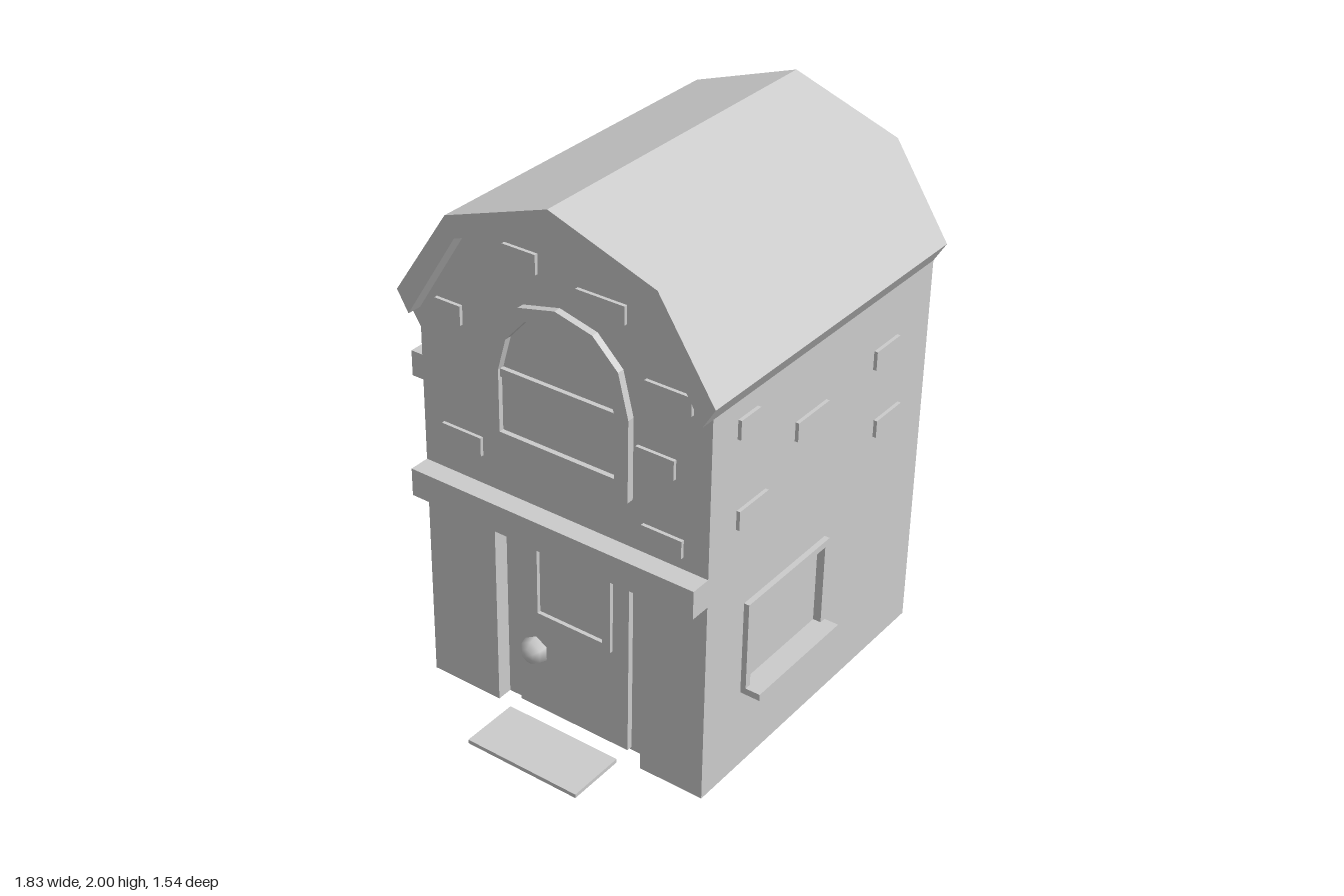
import * as THREE from 'three';

const mat = new THREE.MeshStandardMaterial({ color: 0xcccccc, flatShading: true, side: THREE.DoubleSide });
const smooth = new THREE.MeshStandardMaterial({ color: 0xcccccc });

// main dimensions
const L = -0.31, R = 0.84, WL = -0.84, MID = 0.265;
const BACK = -0.77, FRONT = 0.52, WING = -0.075;

const pts = (list) => list.map(([x, y]) => new THREE.Vector2(x, y));
const rect = (x0, x1, y0, y1) => [[x0, y0], [x1, y0], [x1, y1], [x0, y1]];

function shape(outline, ...holes) {
  const s = new THREE.Shape(pts(outline));
  for (const h of holes) s.holes.push(new THREE.Path(pts(h)));
  return s;
}

function add(parent, name, geo, material = mat) {
  const m = new THREE.Mesh(geo, material);
  m.name = name;
  parent.add(m);
  return m;
}

// flat panel facing +z of its parent
const panel = (parent, name, z, outline, ...holes) =>
  add(parent, name, new THREE.ShapeGeometry(shape(outline, ...holes)).translate(0, 0, z));

// solid slab between two depths
const slab = (parent, name, z0, z1, outline, ...holes) =>
  add(parent, name, new THREE.ExtrudeGeometry(shape(outline, ...holes),
    { depth: z1 - z0, bevelEnabled: false }).translate(0, 0, z0));

function group(parent, name) {
  const g = new THREE.Group();
  g.name = name;
  parent.add(g);
  return g;
}

// raised bricks on a wall whose surface is at depth z
function bricks(parent, z, list) {
  for (const b of list) slab(parent, 'brick', z, z + 0.013, rect(...b));
}

// framed side window with sill, centred on u
function sideWindow(parent, u) {
  const w = group(parent, 'sideWindow');
  slab(w, 'windowFrame', -0.02, 0.02, rect(u - 0.24, u + 0.24, 0.31, 0.67), rect(u - 0.215, u + 0.215, 0.335, 0.645));
  panel(w, 'windowPane', -0.01, rect(u - 0.215, u + 0.215, 0.335, 0.645));
  slab(w, 'windowSill', 0, 0.075, rect(u - 0.24, u + 0.24, 0.31, 0.335));
}
const windowHole = (u) => rect(u - 0.23, u + 0.23, 0.32, 0.66);

// mirror a half profile about the ridge line
const mirrored = (half, ridge) => [
  ...half.map(([d, y]) => [MID - d, y]), [MID, ridge],
  ...half.slice().reverse().map(([d, y]) => [MID + d, y]),
];

export function createModel() {
  const house = new THREE.Group();
  house.name = 'house';

  // roof profiles
  const outer = mirrored([[0.62, 1.535], [0.405, 1.86]], 2.0);
  const inner = mirrored([[0.575, 1.46], [0.37, 1.79]], 1.93);
  const wingOuter = [[-0.88, 1.01], [-0.635, 1.195], [L, 1.245]];
  const wingInner = [[WL, 0.95], [-0.61, 1.125], [L, 1.17]];
  slab(house, 'mainRoof', BACK, 0.576, [...outer, ...inner.slice().reverse()]);
  slab(house, 'wingRoof', BACK, -0.059, [...wingOuter, ...wingInner.slice().reverse()]);

  // front and back walls
  const door = { x0: -0.02, x1: 0.59, top: 0.775, z: 0.46 };
  panel(house, 'frontWall', FRONT, [[L, 0], ...inner, [R, 0],
    [door.x1, 0], [door.x1, door.top], [door.x0, door.top], [door.x0, 0]]);
  panel(house, 'wingFrontWall', WING, [[WL, 0], ...wingInner, [L, 0]]);
  panel(house, 'backWall', BACK, [[WL, 0], ...wingInner, ...inner, [R, 0]]).rotation.set(0, 0, 0);

  // right wall: local u runs toward -z
  const right = group(house, 'rightSide');
  right.position.x = R;
  right.rotation.y = Math.PI / 2;
  panel(right, 'rightWall', 0, rect(-FRONT, -BACK, 0, 1.46), windowHole(-0.07));
  sideWindow(right, -0.07);
  bricks(right, 0, [[-0.385, -0.28, 1.325, 1.395], [-0.055, 0.125, 1.155, 1.225],
    [0.415, 0.56, 1.2, 1.27], [-0.375, -0.215, 0.99, 1.06], [0.445, 0.6, 0.925, 0.99]]);

  // left walls: local u runs toward +z
  const left = group(house, 'leftSide');
  left.position.x = L;
  left.rotation.y = -Math.PI / 2;
  panel(left, 'leftWall', 0, [[WING, 0], [FRONT, 0], [FRONT, 1.46], [BACK, 1.46], [BACK, 1.17], [WING, 1.17]]);
  bricks(left, 0, [[-0.585, -0.465, 1.33, 1.4], [0.12, 0.275, 1.255, 1.32], [0.29, 0.45, 0.935, 1.01]]);

  const wing = group(house, 'wingSide');
  wing.position.x = WL;
  wing.rotation.y = -Math.PI / 2;
  panel(wing, 'wingWall', 0, rect(BACK, WING, 0, 0.95), windowHole(-0.395));
  sideWindow(wing, -0.395);

  // beams over the ground floor
  slab(house, 'frontBeam', FRONT, 0.598, rect(L, R, 0.775, 0.88));
  slab(house, 'wingBeam', WING, 0, rect(WL, L, 0.775, 0.88));

  // door recess
  const entry = group(house, 'entrance');
  const depth = FRONT - door.z, zc = (FRONT + door.z) / 2, w = door.x1 - door.x0;
  panel(entry, 'recessBack', door.z, rect(door.x0, door.x1, 0, door.top));
  for (const x of [door.x0, door.x1])
    add(entry, 'recessSide', new THREE.PlaneGeometry(depth, door.top).rotateY(Math.PI / 2)
      .translate(x, door.top / 2, zc));
  add(entry, 'recessTop', new THREE.PlaneGeometry(w, depth).rotateX(Math.PI / 2)
    .translate(door.x0 + w / 2, door.top, zc));

  // door with window and knob
  slab(entry, 'door', door.z, 0.483, rect(0.05, 0.51, 0.012, 0.768));
  slab(entry, 'doorWindowFrame', 0.483, 0.498, rect(0.11, 0.445, 0.4, 0.71), rect(0.14, 0.413, 0.428, 0.682));
  add(entry, 'doorKnob', new THREE.SphereGeometry(0.053, 6, 6).rotateX(Math.PI / 2).rotateZ(Math.PI / 6)
    .translate(0.12, 0.26, 0.487), smooth);
  add(entry, 'doorMat', new THREE.BoxGeometry(0.46, 0.015, 0.226).translate(0.28, 0.0075, 0.657));

  // arched upper window
  const arch = group(house, 'archedWindow');
  const archOuter = mirrored([[0.283, 1.06], [0.283, 1.36], [0.243, 1.515], [0.145, 1.61]], 1.645);
  const archInner = mirrored([[0.23, 1.13], [0.23, 1.36], [0.197, 1.48], [0.117, 1.57]], 1.6);
  slab(arch, 'archFrame', FRONT, 0.547, archOuter, archInner);
  slab(arch, 'lowerSash', FRONT, 0.528, rect(0.035, 0.495, 1.13, 1.33));
  slab(arch, 'sashBar', FRONT, 0.537, rect(0.035, 0.495, 1.33, 1.36));

  // front bricks
  bricks(house, FRONT, [[0.05, 0.18, 1.735, 1.805], [0.335, 0.52, 1.675, 1.74], [-0.235, -0.13, 1.455, 1.525],
    [0.595, 0.77, 1.45, 1.515], [0.565, 0.71, 1.2, 1.27], [-0.225, -0.06, 0.99, 1.06], [0.59, 0.745, 0.925, 0.99]]);

  return house;
}
